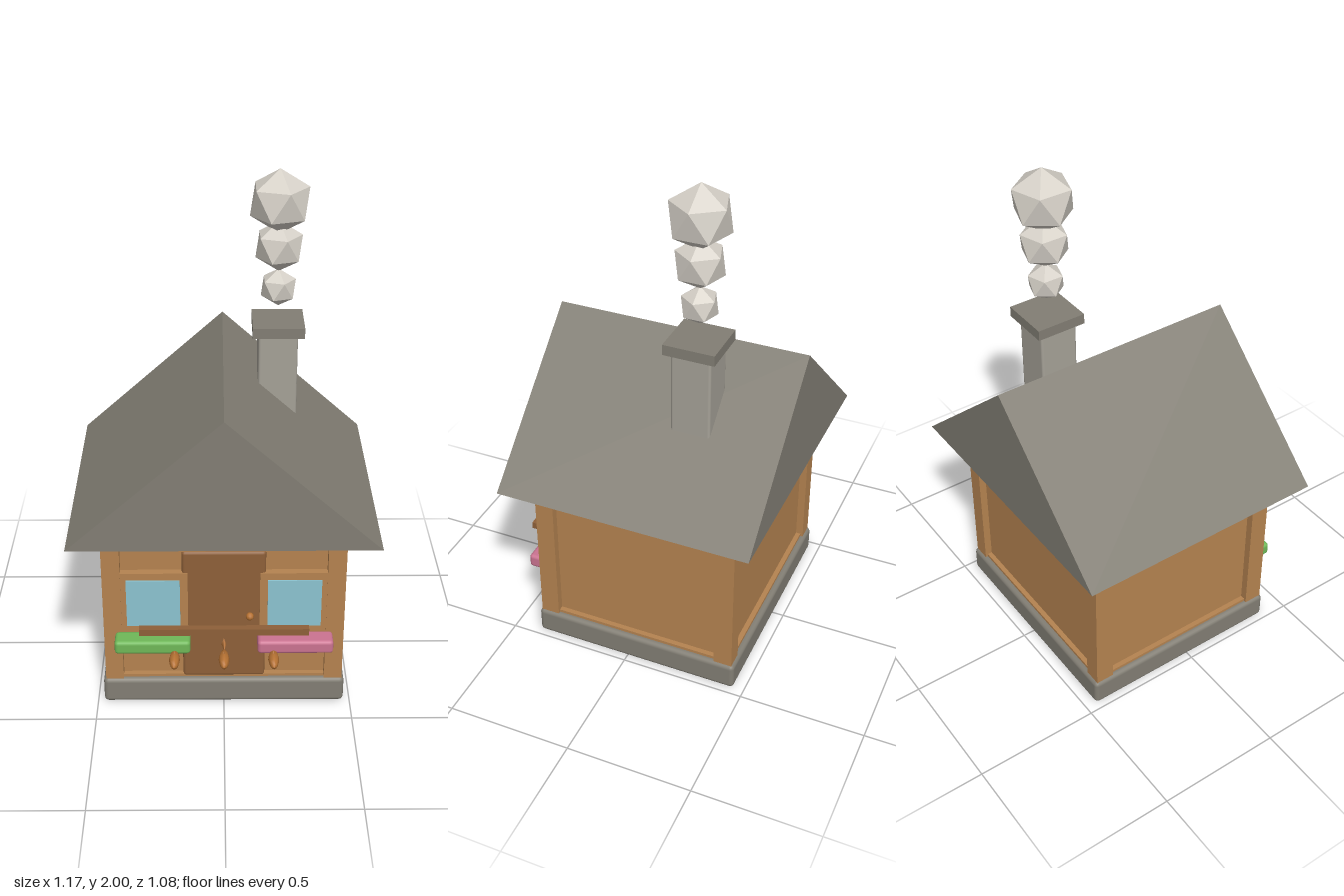
import * as THREE from 'three';
import { RoundedBoxGeometry } from 'three/addons/geometries/RoundedBoxGeometry.js';

const mat = (name, color) => {
  const m = new THREE.MeshStandardMaterial({ color });
  m.name = name;
  return m;
};

export function createModel() {
  const wood = mat('wood', 0xb58350);
  const darkWood = mat('dark wood', 0x8e6039);
  const stone = mat('slate', 0x827e74);
  const chimneyStone = mat('chimney stone', 0xa5a197);
  const glass = mat('glass', 0x8cc4d1);
  const green = mat('green', 0x6fb858);
  const pink = mat('pink', 0xcb7391);
  const copper = mat('copper', 0xb87333);
  const smoke = mat('smoke', 0xd6d1c8);

  const model = new THREE.Group();
  model.name = 'hut';

  const add = (name, geometry, material, parent = model) => {
    const mesh = new THREE.Mesh(geometry, material);
    mesh.name = name;
    parent.add(mesh);
    return mesh;
  };
  // Box from its limits; a radius rounds the edges
  const box = (name, material, [x0, x1], [y0, y1], [z0, z1], radius = 0) => {
    const size = [x1 - x0, y1 - y0, z1 - z0];
    const geometry = radius
      ? new RoundedBoxGeometry(...size, 2, radius)
      : new THREE.BoxGeometry(...size);
    geometry.translate((x0 + x1) / 2, (y0 + y1) / 2, (z0 + z1) / 2);
    return add(name, geometry, material);
  };

  // Foundation, walls and corner posts
  box('foundation', stone, [-0.475, 0.475], [0, 0.11], [-0.457, 0.394], 0.018);
  box('walls', wood, [-0.435, 0.435], [0.1, 0.765], [-0.415, 0.354]);
  for (const x of [-0.43, 0.43])
    for (const z of [-0.4075, 0.3465])
      box('cornerPost', wood, [x - 0.035, x + 0.035], [0.1, 0.765], [z - 0.0375, z + 0.0375]);

  // Beams running between the posts at the top and the bottom
  for (const y of [[0.7, 0.765], [0.1, 0.122]]) {
    box('longBeam', wood, [-0.4, 0.4], y, [-0.435, 0.374]);
    box('crossBeam', wood, [-0.455, 0.455], y, [-0.38, 0.32]);
  }

  // Solid gable roof
  const gable = new THREE.Shape([
    new THREE.Vector2(-0.587, 0.76),
    new THREE.Vector2(0.587, 0.76),
    new THREE.Vector2(0, 1.29),
  ]);
  const roof = new THREE.ExtrudeGeometry(gable, { depth: 1.017, bevelEnabled: false });
  add('roof', roof.translate(0, 0, -0.542), stone);

  // Door, knob and board above it
  box('door', darkWood, [-0.16, 0.16], [0.115, 0.692], [0.33, 0.378], 0.012);
  const knob = add('doorKnob', new THREE.SphereGeometry(0.016, 8, 6), copper);
  knob.position.set(0.1, 0.405, 0.386);
  box('doorBoard', wood, [-0.215, 0.215], [0.71, 0.747], [0.37, 0.401]);

  // Windows with frames, and the boxes below them
  for (const side of [-1, 1]) {
    const x = 0.271 * side;
    box('windowFrame', wood, [x - 0.133, x + 0.133], [0.33, 0.6], [0.35, 0.382]);
    box('windowPane', glass, [x - 0.103, x + 0.103], [0.363, 0.57], [0.38, 0.388]);
    const bx = 0.275 * side;
    box('windowBox', side < 0 ? green : pink,
      [bx - 0.146, bx + 0.146], [0.277, 0.334], [0.378, 0.457], 0.014);
  }

  // Rail with three hanging fish
  box('fishRail', darkWood, [-0.322, 0.322], [0.391, 0.419], [0.463, 0.49]);
  const bodyProfile = [
    [0, -0.056], [0.011, -0.046], [0.021, -0.022], [0.025, 0.004],
    [0.021, 0.03], [0.012, 0.048], [0, 0.056],
  ].map(([r, y]) => new THREE.Vector2(r, y));
  for (const x of [-0.19, 0, 0.19]) {
    const fish = new THREE.Group();
    fish.name = 'fish';
    fish.position.set(x, 0.277, 0.485);
    const body = new THREE.LatheGeometry(bodyProfile, 8).rotateX(Math.PI / 2);
    add('fishBody', body.scale(0.85, 1.05, 1), copper, fish);
    const tail = new THREE.ConeGeometry(0.027, 0.048, 4).rotateX(Math.PI / 2);
    add('fishTail', tail.scale(0.35, 1, 1).translate(0, 0, -0.072), copper, fish);
    const fin = new THREE.ConeGeometry(0.016, 0.02, 4).scale(0.3, 1, 1);
    add('fishFin', fin.translate(0, 0.025, -0.005), copper, fish);
    model.add(fish);
  }

  // Chimney and cap
  box('chimney', chimneyStone, [0.137, 0.29], [0.9, 1.37], [-0.268, -0.112], 0.01);
  box('chimneyCap', stone, [0.114, 0.315], [1.36, 1.402], [-0.292, -0.091]);

  // Faceted smoke puffs, each standing on a corner
  for (const [y, r] of [[1.534, 0.075], [1.7, 0.1], [1.875, 0.125]]) {
    const puff = new THREE.IcosahedronGeometry(r, 0);
    puff.rotateZ(-Math.atan(2 / (1 + Math.sqrt(5))));
    add('smokePuff', puff, smoke).position.set(0.213, y, -0.192);
  }
  return model;
}
